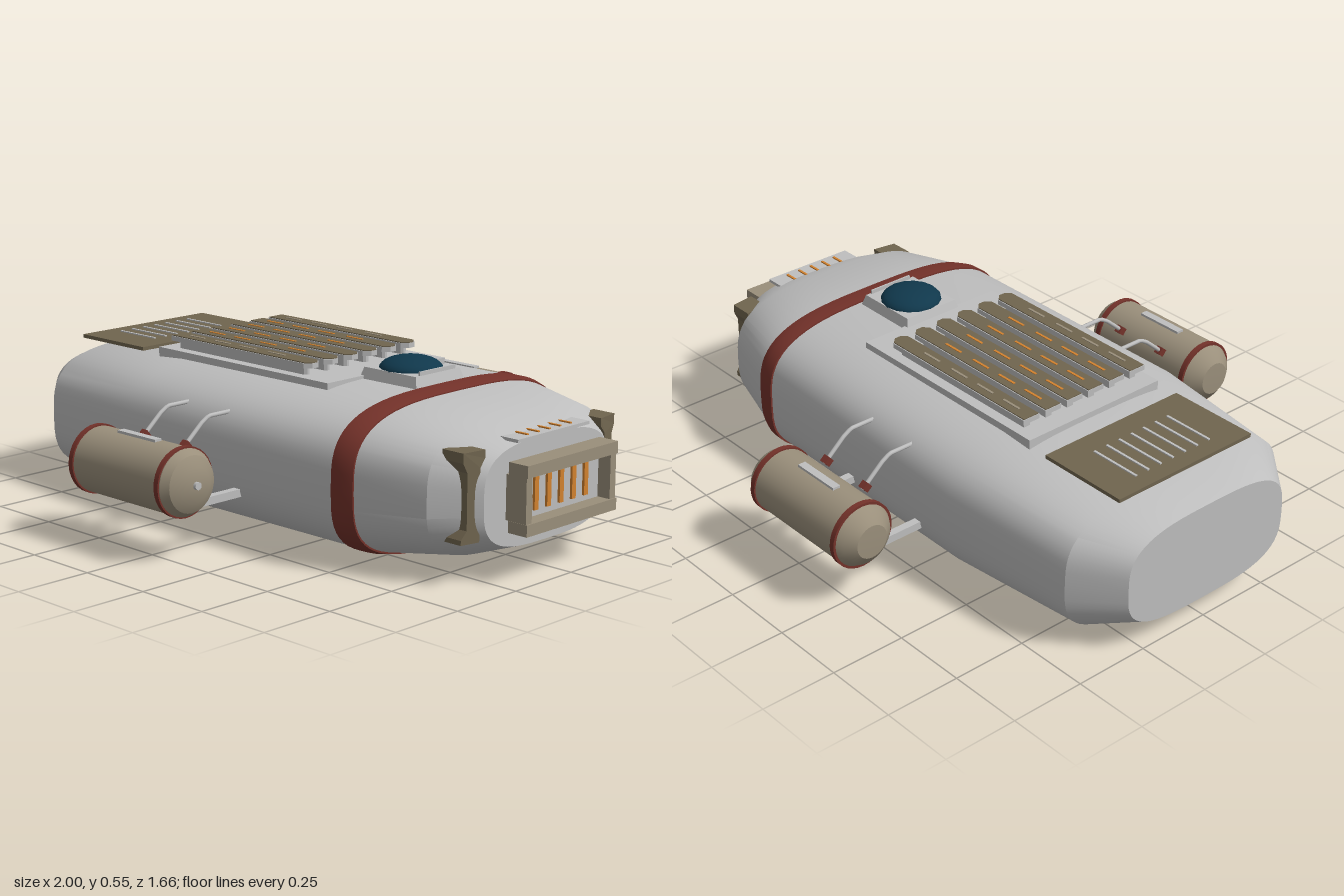
import * as THREE from 'three';
import { toCreasedNormals } from 'three/addons/utils/BufferGeometryUtils.js';

const paint = (name, color) => {
  const m = new THREE.MeshStandardMaterial({ color });
  m.name = name;
  return m;
};

export function createModel() {
  const root = new THREE.Group();
  const grey = paint('hull grey', 0xbebebe);
  const tan = paint('tan', 0x9a8f7b);
  const brown = paint('brown', 0x70654f);
  const red = paint('rust red', 0x74322a);
  const orange = paint('orange', 0xd2822f);
  const glass = paint('dark glass', 0x10384c);

  const add = (name, geo, mat, parent = root) => {
    const mesh = new THREE.Mesh(geo, mat);
    mesh.name = name;
    parent.add(mesh);
    return mesh;
  };
  // box given by its extents on each axis
  const box = (name, mat, [x0, x1], [y0, y1], [z0, z1], parent) => {
    const mesh = add(name, new THREE.BoxGeometry(x1 - x0, y1 - y0, z1 - z0), mat, parent);
    mesh.position.set((x0 + x1) / 2, (y0 + y1) / 2, (z0 + z1) / 2);
    return mesh;
  };
  const group = (name) => {
    const g = new THREE.Group();
    g.name = name;
    root.add(g);
    return g;
  };

  // skin through rounded cross-sections: [x, half width, bottom, top]
  const loft = (stations, n = 64) => {
    const pos = [], idx = [];
    const pw = (v) => Math.sign(v) * Math.abs(v) ** (2 / 3.2);
    for (const [x, w, b, t] of stations) {
      for (let i = 0; i < n; i++) {
        const a = (i / n) * Math.PI * 2;
        pos.push(x, (b + t) / 2 + (pw(Math.sin(a)) * (t - b)) / 2, pw(Math.cos(a)) * w);
      }
    }
    const last = stations.length - 1;
    for (let s = 0; s < last; s++) {
      for (let i = 0; i < n; i++) {
        const a = s * n + i, b = s * n + ((i + 1) % n);
        idx.push(a, a + n, b, b, a + n, b + n);
      }
    }
    for (const s of [0, last]) {
      const c = pos.length / 3, [x, , b, t] = stations[s];
      pos.push(x, (b + t) / 2, 0);
      for (let i = 0; i < n; i++) {
        const p = s * n + i, q = s * n + ((i + 1) % n);
        idx.push(c, s ? q : p, s ? p : q);
      }
    }
    const geo = new THREE.BufferGeometry();
    geo.setAttribute('position', new THREE.Float32BufferAttribute(pos, 3));
    geo.setIndex(idx);
    return toCreasedNormals(geo, 0.5);
  };

  add('hull', loft([
    [-1, 0.32, 0.07, 0.4], [-0.86, 0.437, 0.017, 0.45], [-0.4, 0.485, 0.005, 0.48],
    [0.52, 0.478, 0.006, 0.484], [0.79, 0.4, 0.047, 0.45], [0.905, 0.285, 0.085, 0.402],
  ]), grey);
  add('hullBand', loft([
    [0.49, 0.484, 0.001, 0.489], [0.53, 0.483, 0.002, 0.489], [0.565, 0.47, 0.008, 0.482],
  ]), red);

  // rear deck panel with vent lines
  const rear = group('rearPanel');
  box('rearPlate', brown, [-0.9, -0.59], [0.468, 0.48], [-0.27, 0.27], rear);
  for (let i = -3; i <= 3; i++) {
    box('ventLine', grey, [-0.845, -0.67], [0.48, 0.484], [i * 0.05 - 0.004, i * 0.05 + 0.004], rear);
  }

  // radiator deck with six T-shaped ribs
  const deck = group('radiatorDeck');
  box('deckPlate', grey, [-0.515, 0.26], [0.44, 0.492], [-0.265, 0.265], deck);
  const plank = (x0, x1, half, y, h) => {
    const c = half * 0.6;
    const s = new THREE.Shape([
      [x0, -half], [x1 - c, -half], [x1, -half + c], [x1, half - c], [x1 - c, half], [x0, half],
    ].map((p) => new THREE.Vector2(...p)));
    return new THREE.ExtrudeGeometry(s, { depth: h, bevelEnabled: false })
      .rotateX(-Math.PI / 2).translate(0, y, 0);
  };
  for (let i = 0; i < 6; i++) {
    const z = (i - 2.5) * 0.087;
    add('ribStem', plank(-0.45, 0.13, 0.012, 0.485, 0.035), grey, deck).position.z = z;
    add('ribBar', plank(-0.47, 0.16, 0.032, 0.517, 0.016), grey, deck).position.z = z;
    add('ribTop', plank(-0.468, 0.158, 0.029, 0.533, 0.003), brown, deck).position.z = z;
    for (const x of [-0.38, -0.26, -0.14, -0.01]) {
      box('ribDash', i % 5 ? orange : tan, [x - 0.036, x + 0.036], [0.535, 0.538], [z - 0.004, z + 0.004], deck);
    }
  }

  // observation dome on a tapered base
  const dome = group('dome');
  const base = new THREE.CylinderGeometry(0.152, 0.172, 0.045, 4, 1).rotateY(Math.PI / 4);
  const baseMesh = add('domeBase', toCreasedNormals(base, 0.4), grey, dome);
  baseMesh.position.set(0.362, 0.495, 0);
  baseMesh.scale.z = 0.92;
  const cap = add('domeGlass', new THREE.SphereGeometry(0.1, 16, 6, 0, Math.PI * 2, 0, Math.PI / 2), glass, dome);
  cap.position.set(0.358, 0.515, 0);
  cap.scale.y = 0.4;
  box('domeRail', grey, [0.462, 0.468], [0.515, 0.53], [-0.08, 0.08], dome);

  // nose intake: frame, recessed panel, glowing slats
  const nose = group('noseIntake');
  for (const [y0, y1] of [[0.15, 0.186], [0.323, 0.36]]) {
    box('frameBar', tan, [0.93, 1], [y0, y1], [-0.207, 0.207], nose);
  }
  for (const s of [-1, 1]) {
    box('framePost', tan, [0.92, 0.995], [0.186, 0.323], [s * 0.193 - 0.013, s * 0.193 + 0.013], nose);
  }
  box('intakePanel', grey, [0.89, 0.95], [0.186, 0.323], [-0.18, 0.18], nose);
  box('noseLedge', grey, [0.855, 0.925], [0.406, 0.416], [-0.163, 0.163], nose);
  for (let i = -2; i <= 2; i++) {
    const z = i * 0.057;
    box('intakeSlat', orange, [0.95, 0.958], [0.205, 0.305], [z - 0.009, z + 0.009], nose);
    box('ledgeMark', orange, [0.862, 0.908], [0.416, 0.42], [z * 0.87 - 0.004, z * 0.87 + 0.004], nose);
  }

  // waisted bumper posts beside the nose
  for (const s of [-1, 1]) {
    const outline = [
      [0.265, 0.4], [0.345, 0.4], [0.345, 0.37], [0.33, 0.34], [0.33, 0.17],
      [0.35, 0.145], [0.35, 0.13], [0.285, 0.13], [0.285, 0.35], [0.265, 0.375],
    ];
    const shape = new THREE.Shape(outline.map(([z, y]) => new THREE.Vector2(s * z, y)));
    const geo = new THREE.ExtrudeGeometry(shape, { depth: 0.08, bevelEnabled: false }).rotateY(-Math.PI / 2);
    // slant the post back to follow the hull
    const p = geo.attributes.position;
    for (let i = 0; i < p.count; i++) {
      p.setX(i, p.getX(i) + 0.89 - 0.2 * Math.max(0, Math.abs(p.getZ(i)) - 0.285));
    }
    geo.computeVertexNormals();
    add('bumperPost', geo, brown);
  }

  // side tanks with struts
  const profile = [
    [0, -0.337], [0.055, -0.335], [0.088, -0.31], [0.104, -0.285], [0.104, 0.125],
    [0.088, 0.15], [0.055, 0.168], [0, 0.17],
  ].map((p) => new THREE.Vector2(...p));
  for (const s of [-1, 1]) {
    const tank = group(s > 0 ? 'leftTank' : 'rightTank');
    const body = new THREE.LatheGeometry(profile, 32).rotateZ(-Math.PI / 2);
    add('tankBody', toCreasedNormals(body, 0.5), tan, tank).position.set(0, 0.243, s * 0.72);
    for (const x of [-0.281, 0.113]) {
      const ring = new THREE.CylinderGeometry(0.109, 0.109, 0.018, 32).rotateZ(-Math.PI / 2);
      add('tankRing', ring, red, tank).position.set(x, 0.243, s * 0.72);
    }
    const valve = new THREE.CylinderGeometry(0.012, 0.012, 0.02, 12).rotateZ(-Math.PI / 2);
    add('tankValve', valve, grey, tank).position.set(0.17, 0.243, s * 0.72);
    box('tankHandle', grey, [-0.17, 0.002], [0.335, 0.354], [s * 0.72 - 0.013, s * 0.72 + 0.013], tank);

    for (const x of [-0.25, 0.082]) {
      const z = s * 0.555;
      box('lowerStrut', grey, [x - 0.013, x + 0.013], [0.145, 0.17], [z - 0.105, z + 0.105], tank);
      box('lowerFoot', red, [x - 0.016, x + 0.016], [0.138, 0.165], [s * 0.665 - 0.014, s * 0.665 + 0.014], tank);
    }
    for (const x of [-0.178, 0.01]) {
      const path = new THREE.CurvePath();
      const pts = [[0.31, 0.63], [0.375, 0.555], [0.393, 0.525], [0.393, 0.43]]
        .map(([y, z]) => new THREE.Vector3(x, y, s * z));
      for (let i = 0; i < 3; i++) path.add(new THREE.LineCurve3(pts[i], pts[i + 1]));
      add('upperStrut', new THREE.TubeGeometry(path, 18, 0.007, 8), grey, tank);
      const foot = box('upperFoot', red, [x - 0.012, x + 0.012], [0.305, 0.33], [s * 0.62 - 0.012, s * 0.62 + 0.012], tank);
      foot.rotation.x = s * 0.7;
    }
  }
  return root;
}
